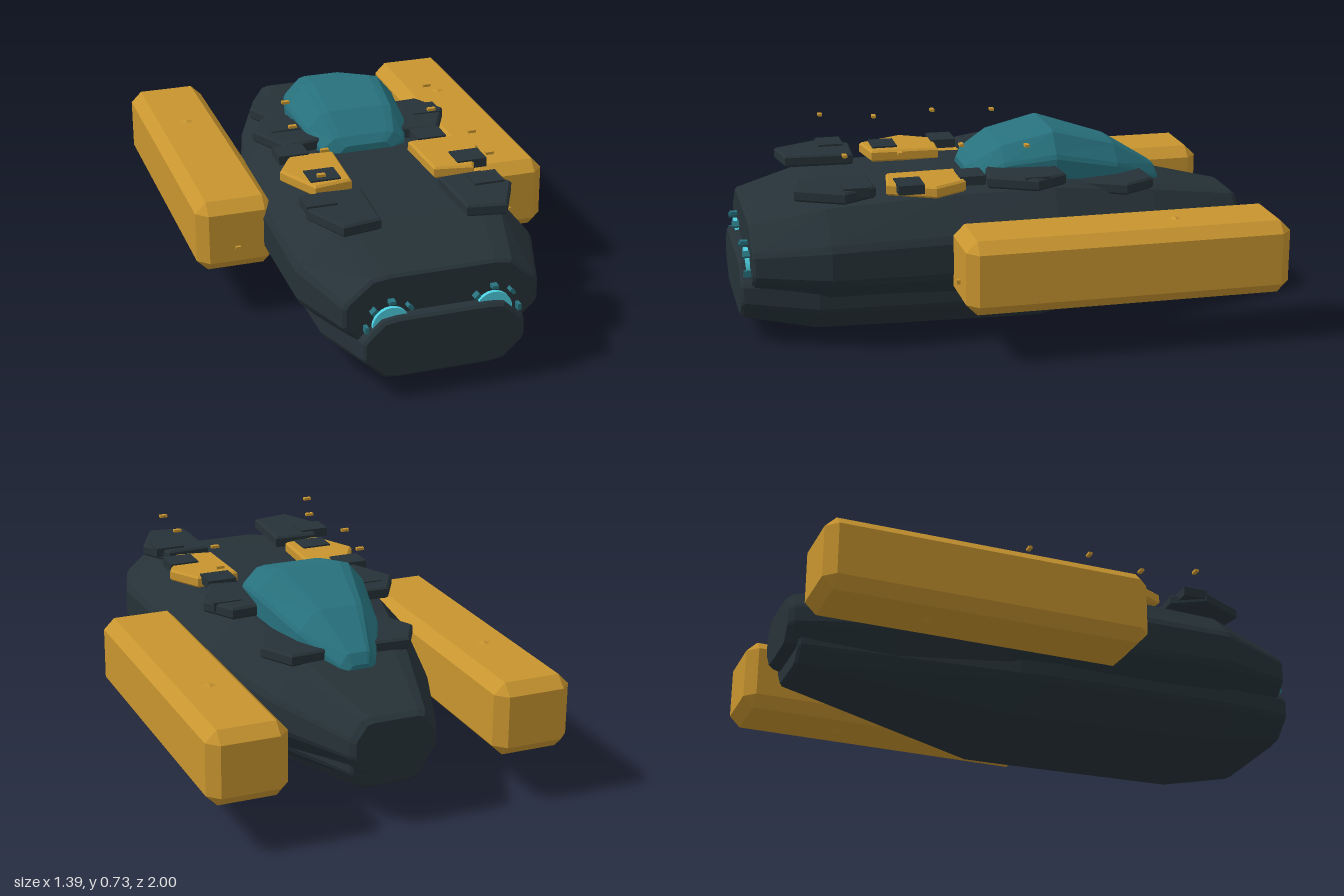
import * as THREE from 'three';
import { ConvexGeometry } from 'three/addons/geometries/ConvexGeometry.js';

const mat = (name, color) => {
  const m = new THREE.MeshStandardMaterial({ color });
  m.name = name;
  return m;
};

// Octagonal section with softened corners: half width w, height y0..y1,
// flat part f of the width, chamfer height c as part of the total height.
function section([z, w, y0, y1, f = 0.69, c = 0.34]) {
  const a = w * f, lo = y0 + (y1 - y0) * c, hi = y1 - (y1 - y0) * c;
  const p = [[w, lo], [w, hi], [a, y1], [-a, y1], [-w, hi], [-w, lo], [-a, y0], [a, y0]]
    .map(([x, y]) => new THREE.Vector3(x, y, z));
  return p.flatMap((v, i) => [
    v.clone().lerp(p[(i + 7) % 8], 0.1),
    v.clone().lerp(p[(i + 1) % 8], 0.1),
  ]);
}

// Faceted body through sections listed from front to back
function loft(list) {
  const rings = list.map(section), out = [];
  const n = rings[0].length;
  const tri = (...pts) => pts.forEach((p) => out.push(p.x, p.y, p.z));
  for (let s = 0; s < rings.length - 1; s++) {
    for (let k = 0; k < n; k++) {
      const a = rings[s][k], b = rings[s][(k + 1) % n];
      const c = rings[s + 1][(k + 1) % n], d = rings[s + 1][k];
      tri(a, d, c);
      tri(a, c, b);
    }
  }
  const front = rings[0], back = rings[rings.length - 1];
  for (let k = 1; k < n - 1; k++) {
    tri(front[0], front[k], front[k + 1]);
    tri(back[0], back[k + 1], back[k]);
  }
  const g = new THREE.BufferGeometry();
  g.setAttribute('position', new THREE.Float32BufferAttribute(out, 3));
  g.computeVertexNormals();
  return g;
}

// Box with all edges cut at 45 degrees
function chamferBox(w, h, d, c) {
  const pts = [];
  for (const x of [-w / 2, w / 2]) for (const y of [-h / 2, h / 2]) for (const z of [-d / 2, d / 2]) {
    const cx = x - Math.sign(x) * c, cy = y - Math.sign(y) * c, cz = z - Math.sign(z) * c;
    pts.push(new THREE.Vector3(x, cy, cz), new THREE.Vector3(cx, y, cz), new THREE.Vector3(cx, cy, z));
  }
  return new ConvexGeometry(pts);
}

export function createModel() {
  const model = new THREE.Group();
  model.name = 'spacecraft';
  const dark = mat('dark hull', 0x263238);
  const gold = mat('gold', 0xc8952f);
  const teal = mat('teal glass', 0x27717d);
  const cyan = mat('cyan glow', 0x4dd0e1);
  const black = mat('vent black', 0x171d21);

  const add = (name, geometry, material, x = 0, y = 0, z = 0) => {
    const m = new THREE.Mesh(geometry, material);
    m.name = name;
    m.position.set(x, y, z);
    model.add(m);
    return m;
  };
  const box = (name, material, w, h, d, x, y, z) =>
    add(name, new THREE.BoxGeometry(w, h, d), material, x, y, z);

  // Main hull and keel
  add('upperHull', loft([
    [0.96, 0.35, 0.195, 0.462],
    [0.95, 0.362, 0.185, 0.472],
    [0.68, 0.45, 0.14, 0.54],
    [0.2, 0.442, 0.115, 0.56],
    [-0.19, 0.42, 0.11, 0.558],
    [-0.6, 0.31, 0.15, 0.5],
    [-0.965, 0.168, 0.21, 0.425],
    [-0.985, 0.15, 0.22, 0.41],
  ]), dark);
  add('keel', loft([
    [1.0, 0.29, 0.098, 0.312, 0.72],
    [0.99, 0.3, 0.088, 0.322, 0.72],
    [0.72, 0.37, 0.03, 0.36, 0.64],
    [0, 0.37, 0.01, 0.36, 0.62],
    [-0.15, 0.36, 0.005, 0.36, 0.62],
    [-0.93, 0.15, 0.14, 0.33],
    [-0.94, 0.14, 0.15, 0.32],
  ]), dark);

  // Cockpit canopy
  add('canopy', loft([
    [0.11, 0.11, 0.5, 0.585, 0.7],
    [0.085, 0.165, 0.49, 0.615, 0.7],
    [-0.02, 0.2, 0.48, 0.682, 0.68],
    [-0.22, 0.22, 0.46, 0.73, 0.66],
    [-0.48, 0.16, 0.43, 0.65, 0.55],
    [-0.66, 0.07, 0.42, 0.54, 0.6],
    [-0.68, 0.05, 0.42, 0.5, 0.6],
  ]), teal);

  // Five-sided armour plate, rows given by z, inward shift, base height, colour
  const outline = [[0.15, -0.14], [0.318, -0.15], [0.39, -0.025], [0.305, 0.15], [0.16, 0.125]];
  const rows = [[0.645, 0, 0.555, dark], [0.305, 0, 0.556, gold], [-0.08, 0, 0.558, dark], [-0.45, 0.085, 0.495, dark]];
  for (const side of [-1, 1]) {
    const tag = side > 0 ? 'Left' : 'Right';
    for (const [z, shift, y, m] of rows) {
      const shape = new THREE.Shape(outline.map(([x, v]) => new THREE.Vector2(side * (x - shift), v)));
      const g = new THREE.ExtrudeGeometry(shape, {
        depth: 0.03, bevelEnabled: true, bevelThickness: 0.008, bevelSize: 0.008, bevelOffset: -0.008, bevelSegments: 1,
      });
      g.rotateX(Math.PI / 2);
      add('armourPlate' + tag, g, m, 0, y + 0.038, z);
    }

    // Side pods with small raised studs
    const px = side * 0.545;
    add('sidePod' + tag, chamferBox(0.3, 0.28, 1.23, 0.042), gold, px, 0.329, -0.385);
    for (const y of [0.469, 0.189]) {
      add('podStud' + tag, new THREE.OctahedronGeometry(1), gold, px, y, -0.585).scale.set(0.03, 0.009, 0.022);
    }
    box('podNoseStud' + tag, gold, 0.02, 0.015, 0.02, px, 0.285, 0.232);

    // Nose lamp with a ring of blocks
    const lamp = add('noseLamp' + tag, new THREE.CylinderGeometry(0.07, 0.07, 0.03, 24), cyan, side * 0.19, 0.285, 0.96);
    lamp.rotation.x = Math.PI / 2;
    for (let i = 0; i < 8; i++) {
      const a = i * Math.PI / 4;
      const b = box('lampBlock' + tag, teal, 0.013, 0.024, 0.035,
        side * 0.19 + Math.cos(a) * 0.093, 0.285 + Math.sin(a) * 0.093, 0.97);
      b.rotation.z = a;
    }
  }

  // Hatches with a small gold marker hovering over each
  const hatches = [[-0.265, -0.11], [-0.305, 0.125], [-0.255, 0.37], [-0.33, 0.573],
    [0.31, -0.11], [0.245, 0.125], [0.315, 0.37], [0.305, 0.573]];
  for (const [x, z] of hatches) {
    box('hatch', dark, 0.115, 0.035, 0.098, x, 0.591, z);
    box('marker', gold, 0.03, 0.01, 0.016, x, 0.718, z + 0.033);
  }

  // Vent slots
  for (let i = 0; i < 4; i++) {
    box('goldPlateVent', black, 0.08, 0.006, 0.011, -0.218, 0.596, 0.27 + i * 0.025);
    box('rearPlateVent', black, 0.035, 0.006, 0.011, 0.18, 0.535, -0.475 + i * 0.024);
  }
  return model;
}
